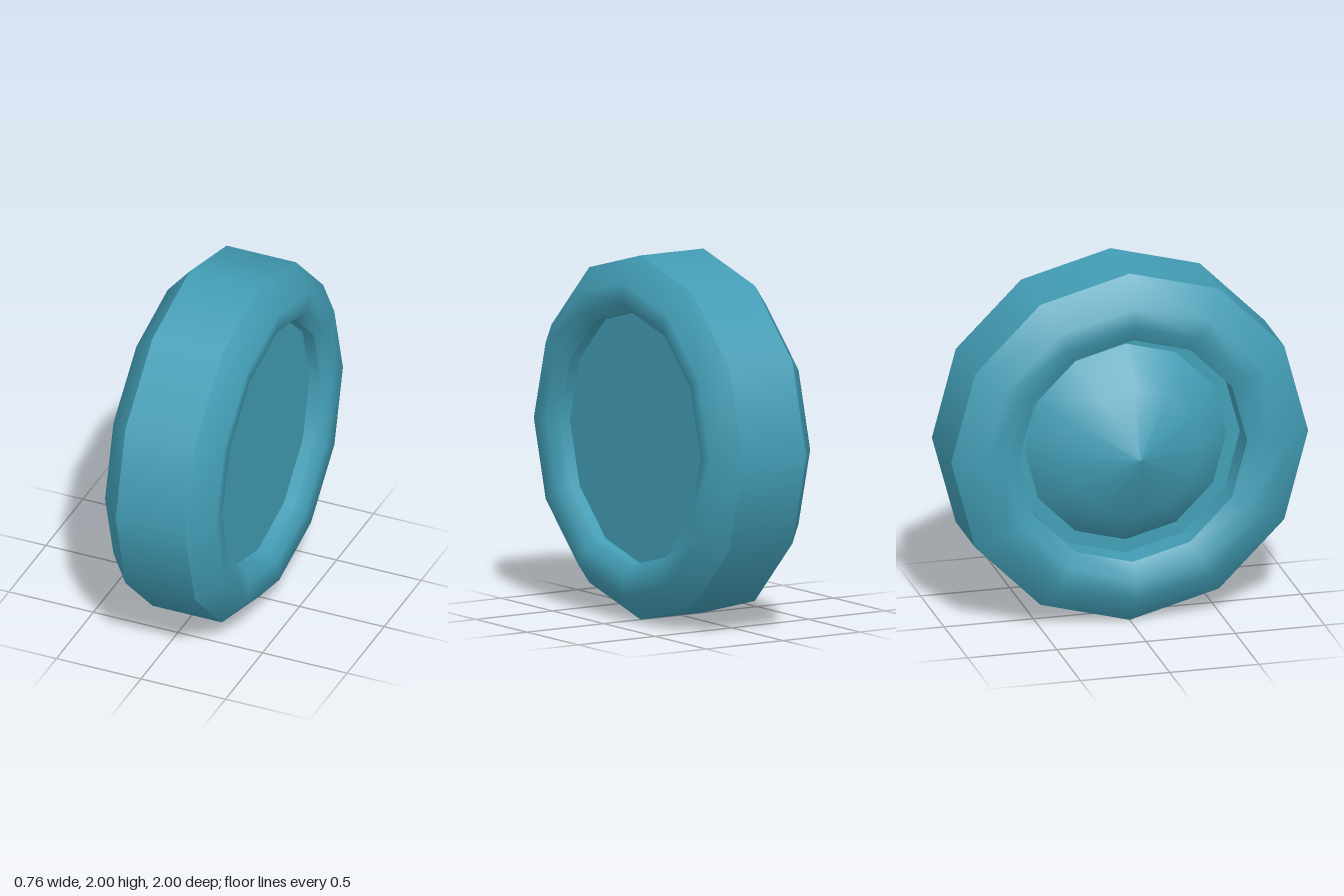
import * as THREE from 'three';

const SIDES = 12;

export function createModel() {
  const group = new THREE.Group();
  group.name = 'wheel';
  const material = new THREE.MeshStandardMaterial({ color: 0x429db5 });

  // Each band is a smooth lathe of [radius, x] points; seams between bands stay sharp
  const band = (name, profile) => {
    const points = profile.map(([r, x]) => new THREE.Vector2(r, x));
    const geometry = new THREE.LatheGeometry(points, SIDES);
    geometry.rotateZ(-Math.PI / 2); // spin axis along x
    const mesh = new THREE.Mesh(geometry, material);
    mesh.name = name;
    mesh.position.y = 1;
    group.add(mesh);
  };

  // Domed hub inside the right-hand recess
  band('hubDome', [[0, -0.38], [0.37, -0.254], [0.57, -0.06]]);
  band('recessFloor', [[0.55, -0.065], [0.64, -0.065]]);
  band('recessWall', [[0.64, -0.065], [0.64, -0.22]]);

  // Tyre: rounded sidewalls either side of a flat tread
  band('rightSidewall', [[0.64, -0.22], [0.73, -0.27], [0.845, -0.28], [1, -0.15]]);
  band('tread', [[1, -0.15], [1, 0.26]]);
  band('leftSidewall', [[1, 0.26], [0.86, 0.38], [0.75, 0.37], [0.695, 0.32]]);

  // Flat, slightly sunken cover on the left
  band('coverWall', [[0.695, 0.32], [0.695, 0.255]]);
  band('coverDisc', [[0.695, 0.255], [0, 0.255]]);

  return group;
}
